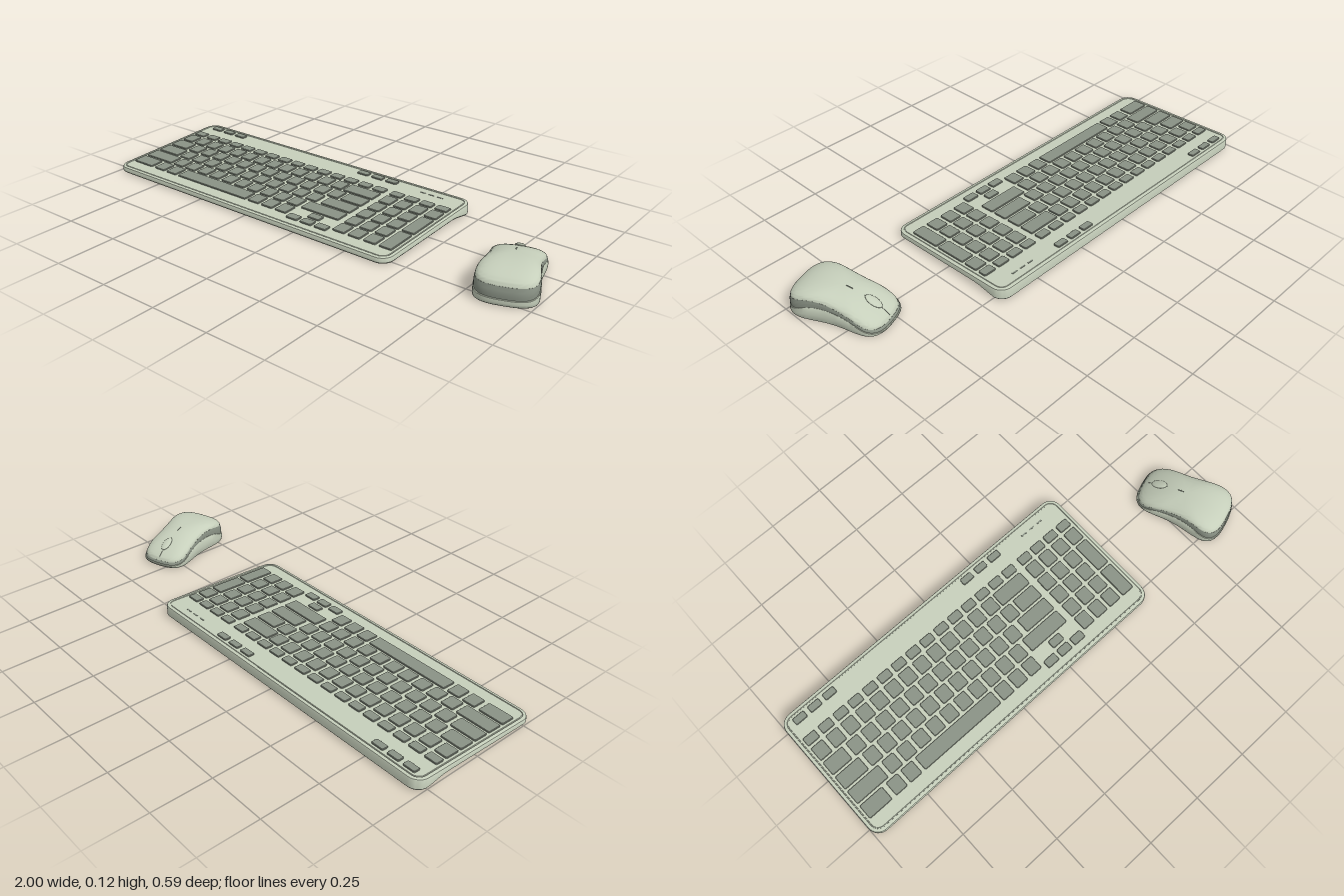
import * as THREE from 'three';
import { toCreasedNormals } from 'three/addons/utils/BufferGeometryUtils.js';

const light = new THREE.MeshStandardMaterial({ color: 0xc6cfbb, side: THREE.DoubleSide });
const dark = new THREE.MeshStandardMaterial({ color: 0x8a9285, side: THREE.DoubleSide });

function add(parent, name, geometry, material) {
  const mesh = new THREE.Mesh(geometry, material);
  mesh.name = name;
  parent.add(mesh);
  return mesh;
}

// Skin a stack of rings; each ring is mirror-symmetric in x (point i matches n-1-i).
function loft(rings, capBottom, capTop, crease = 0.6) {
  const n = rings[0].length, pos = [], idx = [];
  rings.forEach(r => r.forEach(p => pos.push(p[0], p[1], p[2])));
  const quad = (a, b, c, d) => idx.push(a, b, c, a, c, d);
  for (let k = 0; k < rings.length - 1; k++)
    for (let i = 0; i < n; i++) {
      const j = (i + 1) % n, o = k * n;
      quad(o + i, o + j, o + n + j, o + n + i);
    }
  const last = (rings.length - 1) * n;
  for (let i = 0; i < n / 2 - 1; i++) {
    if (capBottom) quad(n - 1 - i, n - 2 - i, i + 1, i);
    if (capTop) quad(last + i, last + i + 1, last + n - 2 - i, last + n - 1 - i);
  }
  const g = new THREE.BufferGeometry();
  g.setAttribute('position', new THREE.Float32BufferAttribute(pos, 3));
  g.setIndex(idx);
  return toCreasedNormals(g, crease);
}

// ---------- Keyboard ----------
const TILT = 0.039;
const deckY = z => 0.0415 - TILT * z;
// Nearly flat underside that drops into a foot along the back edge
const underY = z => z > -0.15
  ? 0.018 - (z + 0.15) * 0.033
  : 0.018 - 0.015 * THREE.MathUtils.smoothstep(-z, 0.15, 0.27);

function roundedOutline(hw, hd, r) {
  const half = [];
  for (let i = 0; i <= 8; i++) {
    const a = i / 8 * Math.PI / 2;
    half.push([hw - r + r * Math.sin(a), hd - r + r * Math.cos(a)]);
  }
  for (let i = 1; i < 20; i++) half.push([hw, (hd - r) * (1 - i / 10)]);
  for (let i = 0; i <= 8; i++) {
    const a = Math.PI / 2 + i / 8 * Math.PI / 2;
    half.push([hw - r + r * Math.sin(a), -hd + r + r * Math.cos(a)]);
  }
  return half.concat(half.map(p => [-p[0], p[1]]).reverse());
}

function keyGeometry(w, d, h) {
  const b = 0.0015, x = w / 2 - b, y = d / 2 - b, r = 0.006;
  const s = new THREE.Shape();
  s.moveTo(-x + r, -y);
  s.lineTo(x - r, -y); s.quadraticCurveTo(x, -y, x, -y + r);
  s.lineTo(x, y - r); s.quadraticCurveTo(x, y, x - r, y);
  s.lineTo(-x + r, y); s.quadraticCurveTo(-x, y, -x, y - r);
  s.lineTo(-x, -y + r); s.quadraticCurveTo(-x, -y, -x + r, -y);
  const g = new THREE.ExtrudeGeometry(s, {
    depth: h, bevelEnabled: true, bevelThickness: b, bevelSize: b, bevelSegments: 1, curveSegments: 3,
  });
  return g.rotateX(-Math.PI / 2).translate(0, -h / 2, 0).rotateX(TILT);
}

function createKeyboard() {
  const kb = new THREE.Group();
  kb.name = 'keyboard';
  const cx = -0.2775, hw = 0.7225, hd = 0.296;

  // Case: [inset, height offset, measured from deck?]; includes the groove round the rim
  const steps = [
    [0.012, 0, 0], [0.004, 0.002, 0], [0, 0.007, 0], [0, -0.007, 1], [0.002, -0.002, 1], [0.007, 0, 1],
    [0.014, 0, 1], [0.015, -0.003, 1], [0.018, -0.003, 1], [0.019, -0.0005, 1],
  ];
  const rings = steps.map(([inset, dy, top]) =>
    roundedOutline(hw - inset, hd - inset, 0.05 - inset)
      .map(([x, z]) => [x, (top ? deckY(z) : underY(z)) + dy, z]));
  add(kb, 'keyboardCase', loft(rings, true, true), light).position.x = cx;

  const key = (name, x0, x1, z0, z1) => {
    const z = (z0 + z1) / 2;
    add(kb, name, keyGeometry(x1 - x0, z1 - z0, 0.007), dark)
      .position.set((x0 + x1) / 2, deckY(z) + 0.0005, z);
  };
  const P = 0.0725, W = 0.057, L = -0.972, R = 0.113;
  // Run of equal keys starting at x
  const run = (x, count, z0, z1, pitch = P) => {
    for (let i = 0; i < count; i++) key('key', x + i * pitch, x + i * pitch + W, z0, z1);
  };
  const rowZ = i => [-0.131 + i * 0.0733, -0.068 + i * 0.0733];

  // Half-height top row and number row
  run(L, 15, -0.181, -0.143, (R - W - L) / 14);
  run(L, 13, ...rowZ(0));
  key('wideKey', -0.035, R, ...rowZ(0));
  // Letter rows: [row, first key end, run start, count, last key start]
  for (const [row, end, start, count, lastX] of [
    [1, -0.877, -0.86, 12, 0.008], [2, -0.856, -0.84, 11, -0.035], [3, -0.82, -0.804, 10, -0.075],
  ]) {
    key('wideKey', L, end, ...rowZ(row));
    run(start, count, ...rowZ(row));
    key('wideKey', lastX, R, ...rowZ(row));
  }
  // Bottom row
  key('wideKey', L, -0.862, ...rowZ(4));
  run(-0.843, 2, ...rowZ(4));
  key('spaceBar', -0.698, -0.308, ...rowZ(4));
  run(-0.294, 3, ...rowZ(4));
  // Arrow keys
  key('arrowKey', -0.003, 0.055, 0.164, 0.2);
  for (let i = 0; i < 3; i++) key('arrowKey', -0.073 + i * 0.071, -0.016 + i * 0.071, 0.212, 0.248);
  // Number pad with two tall keys
  run(0.142, 4, -0.181, -0.143);
  run(0.142, 4, ...rowZ(0));
  for (let i = 1; i < 5; i++) run(0.142, 3, ...rowZ(i));
  for (const i of [1, 3]) key('tallKey', 0.3595, 0.4165, rowZ(i)[0], rowZ(i + 1)[1]);
  // Media buttons and indicators along the back
  for (const x of [-0.954, -0.092])
    for (let i = 0; i < 3; i++) key('mediaButton', x + i * 0.073, x + i * 0.073 + 0.055, -0.268, -0.238);
  for (let i = 0; i < 3; i++) {
    const m = add(kb, 'indicator', new THREE.BoxGeometry(0.026, 0.002, 0.006), dark);
    m.position.set(0.241 + i * 0.042, deckY(-0.243), -0.243);
    m.rotation.x = TILT;
  }
  return kb;
}

// ---------- Mouse ----------
const LEN = 0.197;
// Seam heights at even steps from the nose (-z) to the palm (+z)
const seam = ys => {
  const c = new THREE.SplineCurve(ys.map((y, i) => new THREE.Vector2(i, y)));
  return z => c.getPoint(THREE.MathUtils.clamp((z + LEN) / (2 * LEN), 0, 1)).y;
};
const upper = seam([0.03, 0.038, 0.058, 0.072, 0.085, 0.093, 0.092, 0.082, 0.076]);
const lower = seam([0.018, 0.026, 0.044, 0.056, 0.063, 0.067, 0.06, 0.043, 0.031]);
const crown = z => 0.118 + 0.133 * z - 0.44 * z * z;
const SHELL = 0.955;
const domeY = (edge, z, s) => edge + (crown(z) - edge) * Math.sqrt(Math.max(0, 1 - s ** 2.2));
const ridgeY = z => domeY(upper(Math.sign(z) * LEN), z, Math.abs(z) / (LEN * SHELL));

// Waisted oval, scaled by s; y is given by a rule of the outline's own z
function mouseRing(s, yRule) {
  const n = 72, ring = [];
  const soft = v => Math.sign(v) * Math.abs(v) ** 0.75;
  for (let i = 0; i < n; i++) {
    const a = (i + 0.5) / n * Math.PI * 2;
    const z = LEN * soft(Math.cos(a));
    const x = (0.1 + 0.05 * z + 1.6 * z * z) * soft(Math.sin(a));
    ring.push([x * s, yRule(z), z * s]);
  }
  return ring;
}

function createMouse() {
  const mouse = new THREE.Group();
  mouse.name = 'mouse';

  add(mouse, 'mouseBase', loft([
    mouseRing(0.965, () => 0.004), mouseRing(0.99, () => 0.009),
    mouseRing(1, z => 0.009 + (lower(z) - 0.009) * 0.4), mouseRing(0.997, z => lower(z) - 0.002),
    mouseRing(0.985, lower), mouseRing(0.94, lower),
  ], true, false), light);

  const band = [];
  for (let i = 0; i <= 6; i++) {
    const t = i / 6;
    band.push(mouseRing(0.978 - 0.02 * t + 0.014 * Math.sin(Math.PI * t),
      z => THREE.MathUtils.lerp(lower(z) - 0.001, upper(z), t)));
  }
  band.push(mouseRing(0.92, upper));
  add(mouse, 'sideBand', loft(band, false, false), dark);

  const dome = [mouseRing(0.92, z => upper(z) - 0.001)];
  for (let i = 0; i <= 16; i++) {
    const s = Math.max(0.02, Math.cos(i / 16 * Math.PI / 2));
    dome.push(mouseRing(SHELL * s, z => domeY(upper(z), z * s, s)));
  }
  add(mouse, 'topShell', loft(dome, false, true, 0.9), light);

  // Scroll wheel, button seam and battery light on the ridge
  const wheel = add(mouse, 'scrollWheel', new THREE.SphereGeometry(1, 24, 12), light);
  wheel.scale.set(0.019, 0.007, 0.036);
  wheel.position.set(0, ridgeY(-0.122) + 0.001, -0.122);
  wheel.rotation.x = -0.45;
  const ridgeLine = (name, z0, z1, r) => {
    const pts = [];
    for (let i = 0; i <= 6; i++) {
      const z = z0 + (z1 - z0) * i / 6;
      pts.push(new THREE.Vector3(0, ridgeY(z), z));
    }
    add(mouse, name, new THREE.TubeGeometry(new THREE.CatmullRomCurve3(pts), 16, r, 6), dark);
  };
  ridgeLine('buttonSeam', -0.184, -0.085, 0.001);
  ridgeLine('statusLight', -0.04, -0.012, 0.002);

  mouse.position.set(0.845, 0, 0.096);
  mouse.rotation.y = 0.33;
  return mouse;
}

export function createModel() {
  const model = new THREE.Group();
  model.name = 'keyboardAndMouse';
  model.add(createKeyboard(), createMouse());
  return model;
}
